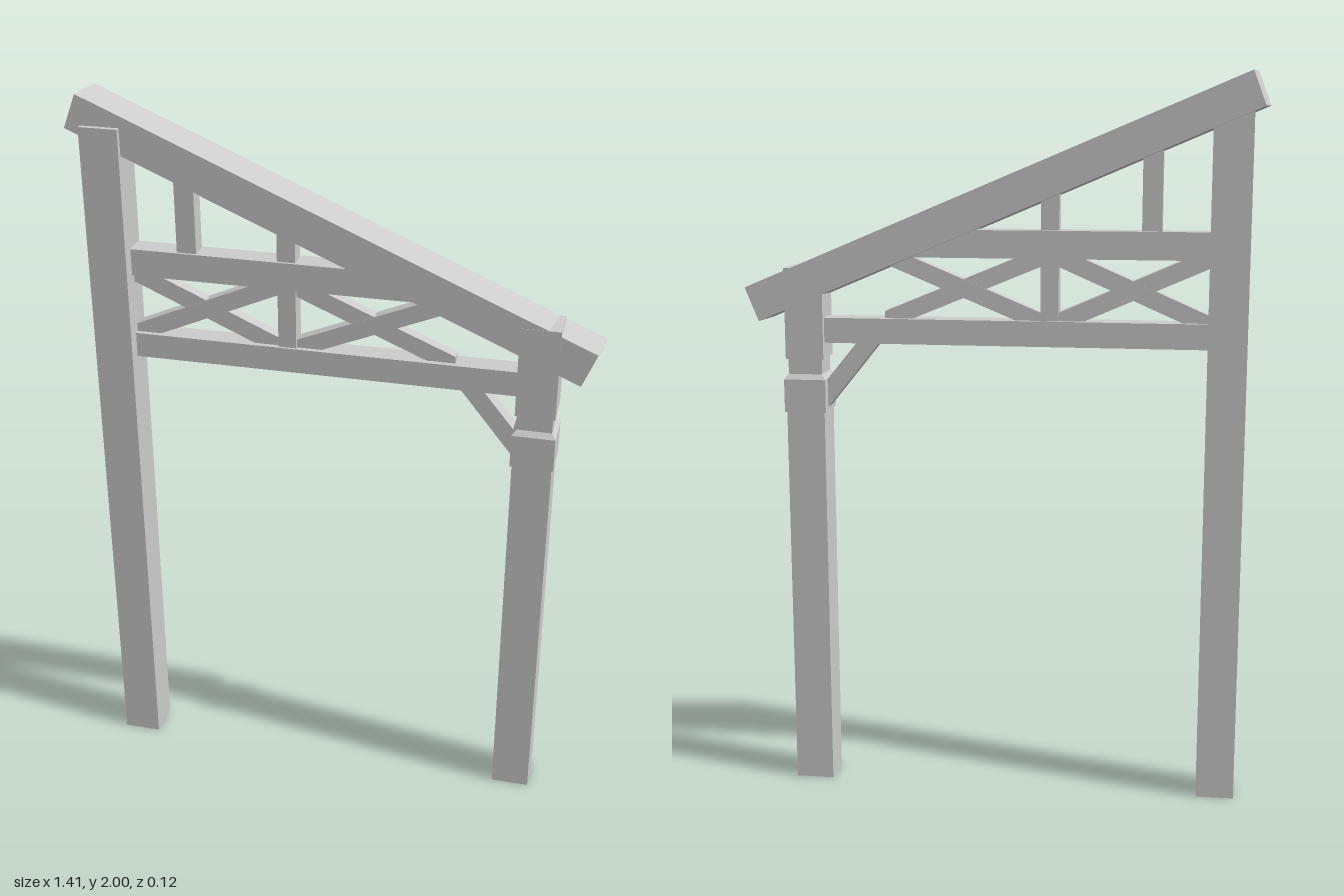
import * as THREE from 'three';

const material = new THREE.MeshStandardMaterial({ color: 0xcccccc, flatShading: true });

export function createModel() {
  const model = new THREE.Group();

  const add = (name, geometry) => {
    const mesh = new THREE.Mesh(geometry, material);
    mesh.name = name;
    model.add(mesh);
    return mesh;
  };

  // Timber given by its limits on each axis
  const timber = (name, x0, x1, y0, y1, z0, z1) => {
    const g = new THREE.BoxGeometry(x1 - x0, y1 - y0, z1 - z0);
    g.translate((x0 + x1) / 2, (y0 + y1) / 2, (z0 + z1) / 2);
    return add(name, g);
  };

  // Timber with a side outline in x, y, extruded from z0 to z1
  const slab = (name, points, z0, z1) => {
    const shape = new THREE.Shape(points.map(([x, y]) => new THREE.Vector2(x, y)));
    const g = new THREE.ExtrudeGeometry(shape, { depth: z1 - z0, bevelEnabled: false });
    g.translate(0, 0, z0);
    return add(name, g);
  };

  // Posts
  timber('tallPost', -0.662, -0.557, 0, 1.92, -0.045, 0.062);
  timber('shortPost', 0.488, 0.594, 0, 1.1, -0.056, 0.049);
  timber('shortPostHead', 0.488, 0.594, 1.228, 1.478, -0.056, 0.049);

  // Collar and neck on the short post
  timber('collar', 0.483, 0.599, 1.08, 1.172, -0.062, 0.055);
  timber('neck', 0.494, 0.588, 1.16, 1.23, -0.05, 0.043);
  const cap = new THREE.CylinderGeometry(0.094 * Math.SQRT1_2, 0.116 * Math.SQRT1_2, 0.014, 4, 1);
  cap.rotateY(Math.PI / 4);
  cap.translate(0.541, 1.179, -0.0035);
  add('collarBevel', cap);

  // Sloping rafter, its ends skewed in plan
  const rafter = slab('rafter', [
    [-0.705, 1.91], [0.652, 1.332], [0.689, 1.424], [-0.67, 2.0],
  ], -0.057, 0.048);
  const pos = rafter.geometry.attributes.position;
  for (let i = 0; i < pos.count; i++) {
    pos.setX(i, pos.getX(i) - 0.143 * (pos.getZ(i) - 0.048));
  }
  rafter.geometry.computeVertexNormals();

  // Horizontal beams
  timber('lowerBeam', -0.58, 0.51, 1.273, 1.342, -0.04, 0.024);
  slab('upperBeam', [[-0.58, 1.51], [0.36, 1.51], [0.22, 1.585], [-0.58, 1.585]], -0.04, 0.024);

  // Upright struts
  timber('kingStrut', -0.157, -0.108, 1.34, 1.7, -0.033, 0.017);
  timber('shortStrut', -0.43, -0.377, 1.58, 1.81, -0.033, 0.017);

  // Crossed braces, trimmed to the bay they fill
  const h = 0.026, y0 = 1.335, y1 = 1.517;
  for (const [x0, x1] of [[-0.565, -0.149], [-0.116, 0.32]]) {
    const dx = 2.3 * h, mid = x0 + x1;
    const rising = [
      [x0, y0], [x0 + dx, y0], [x1, y1 - h], [x1, y1], [x1 - dx, y1], [x0, y0 + h],
    ];
    slab('crossBrace', rising, -0.026, 0.01);
    slab('crossBrace', rising.map(([x, y]) => [mid - x, y]).reverse(), -0.025, 0.009);
  }

  // Knee brace under the lower beam
  slab('kneeBrace', [
    [0.335, 1.275], [0.49, 1.083], [0.5, 1.15], [0.398, 1.275],
  ], -0.033, 0.017);

  return model;
}
